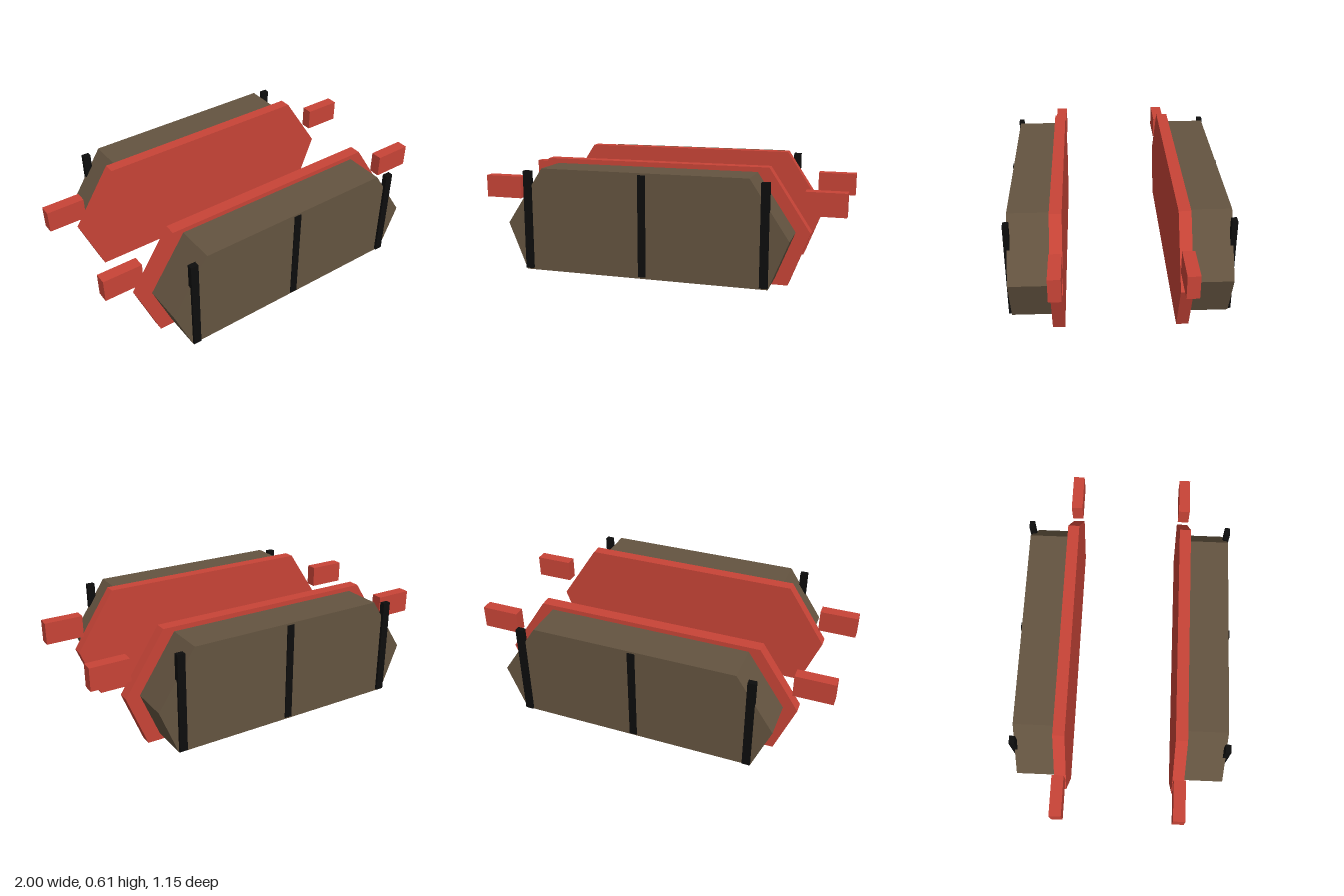
import * as THREE from 'three';

const red = new THREE.MeshStandardMaterial({ name: 'red backing', color: 0xc84437 });
const brown = new THREE.MeshStandardMaterial({ name: 'brown friction', color: 0x645440 });
const black = new THREE.MeshStandardMaterial({ name: 'black strip', color: 0x0d0d0d });

// Symmetric hexagonal slab; points run up the +x side, extruded from z0 to z1
function slab(name, half, z0, z1, material) {
  const mirrored = half.map(([x, y]) => [-x, y]).reverse();
  const shape = new THREE.Shape([...half, ...mirrored].map(([x, y]) => new THREE.Vector2(x, y)));
  const geometry = new THREE.ExtrudeGeometry(shape, { depth: z1 - z0, bevelEnabled: false });
  geometry.translate(0, 0, z0);
  const mesh = new THREE.Mesh(geometry, material);
  mesh.name = name;
  return mesh;
}

// Box given by its limits on each axis
function block(name, [x0, x1], [y0, y1], [z0, z1], material) {
  const mesh = new THREE.Mesh(new THREE.BoxGeometry(x1 - x0, y1 - y0, z1 - z0), material);
  mesh.position.set((x0 + x1) / 2, (y0 + y1) / 2, (z0 + z1) / 2);
  mesh.name = name;
  return mesh;
}

function createPad(name) {
  const pad = new THREE.Group();
  pad.name = name;
  const plateZ = [0.285, 0.348];

  // Backing plate and friction block
  pad.add(slab('backingPlate', [[0.717, 0], [0.825, 0.28], [0.608, 0.608]], ...plateZ, red));
  pad.add(slab('frictionBlock', [[0.65, 0.034], [0.75, 0.283], [0.55, 0.583]], 0.348, 0.56, brown));

  // Mounting ears and outer strips
  for (const s of [-1, 1]) {
    const ear = s < 0 ? [-1, -0.79] : [0.79, 1];
    pad.add(block('mountingEar', ear, [0.372, 0.495], plateZ, red));
    pad.add(block('outerStrip', [s * 0.63 - 0.021, s * 0.63 + 0.021], [0.044, 0.568], [0.545, 0.574], black));
  }

  // Middle strip
  pad.add(block('middleStrip', [-0.02, 0.02], [0.044, 0.573], [0.545, 0.566], black));
  return pad;
}

export function createModel() {
  const model = new THREE.Group();
  model.name = 'padPair';
  const back = createPad('backPad');
  back.rotation.y = Math.PI;
  model.add(createPad('frontPad'), back);
  return model;
}
